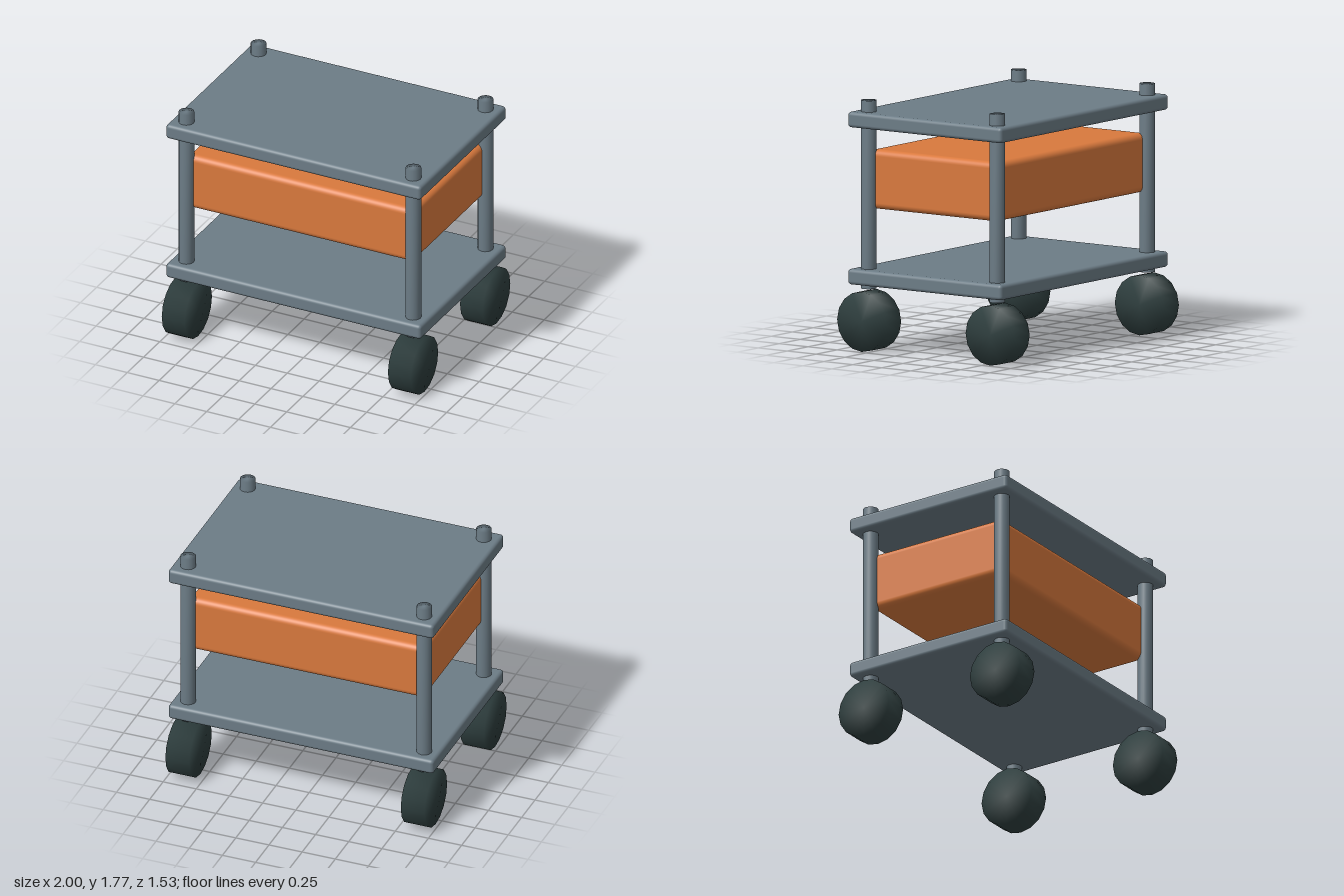
import * as THREE from 'three';
import { RoundedBoxGeometry } from 'three/addons/geometries/RoundedBoxGeometry.js';
import { mergeVertices } from 'three/addons/utils/BufferGeometryUtils.js';

// Cylinder whose caps and side share normals, for a soft pillowy shading
function softCylinder(radius, length, sides) {
  const g = new THREE.CylinderGeometry(radius, radius, length, sides);
  g.deleteAttribute('normal');
  g.deleteAttribute('uv');
  const merged = mergeVertices(g, 1e-4);
  merged.computeVertexNormals();
  return merged;
}

function material(name, color) {
  const m = new THREE.MeshStandardMaterial({ color });
  m.name = name;
  return m;
}

export function createModel() {
  const group = new THREE.Group();
  group.name = 'rollingCart';

  const slate = material('slate grey', 0x6c7c86);
  const orange = material('orange', 0xd9793d);
  const rubber = material('dark rubber', 0x2e3e3e);

  const add = (name, geometry, mat, x, y, z) => {
    const mesh = new THREE.Mesh(geometry, mat);
    mesh.name = name;
    mesh.position.set(x, y, z);
    group.add(mesh);
    return mesh;
  };

  // Two shelves
  const shelf = new RoundedBoxGeometry(2, 0.11, 1.33, 3, 0.025);
  add('lowerShelf', shelf, slate, 0, 0.525, 0);
  add('upperShelf', shelf, slate, 0, 1.635, 0);

  // Storage box hung between the posts
  add('drawer', new RoundedBoxGeometry(1.78, 0.42, 1.11, 4, 0.045), orange, 0, 1.212, 0);

  // Corner posts and wheels
  const post = softCylinder(0.055, 1.33, 16);
  const wheel = softCylinder(0.212, 0.178, 16);
  wheel.rotateZ(Math.PI / 2);
  for (const sx of [1, -1]) {
    for (const sz of [1, -1]) {
      const corner = (sz > 0 ? 'front' : 'back') + (sx > 0 ? 'Left' : 'Right');
      add(corner + 'Post', post, slate, sx * 0.89, 1.105, sz * 0.555);
      add(corner + 'Wheel', wheel, rubber, sx * 0.887, 0.212, sz * 0.555);
    }
  }
  return group;
}
